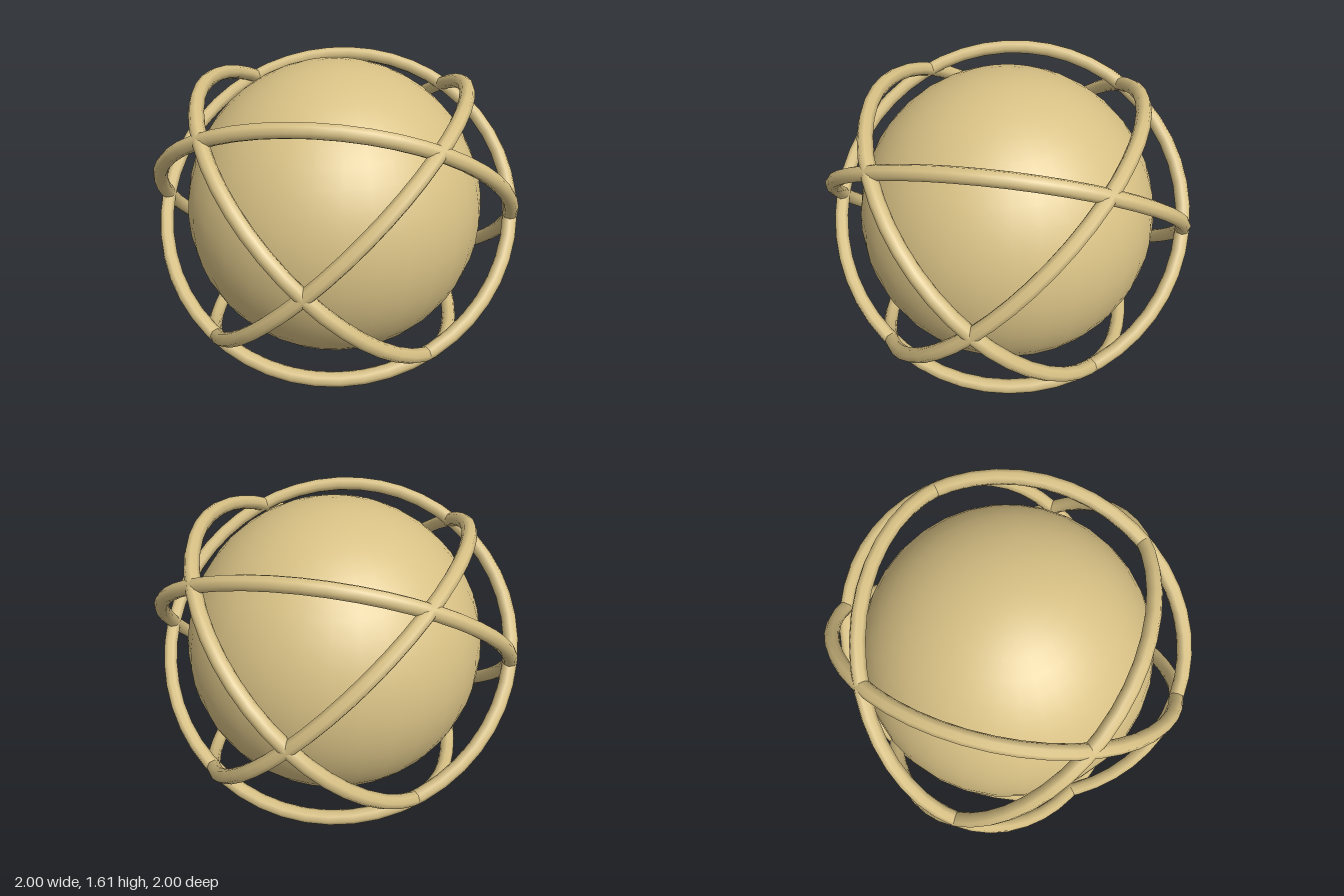
import * as THREE from 'three';

export function createModel() {
  const model = new THREE.Group();
  const sand = new THREE.MeshStandardMaterial({ color: 0xd8c185 });
  sand.name = 'sand';
  const centreY = 0.805;

  const add = (name, geometry) => {
    const mesh = new THREE.Mesh(geometry, sand);
    mesh.name = name;
    mesh.position.y = centreY;
    model.add(mesh);
  };

  // Central ball
  add('ball', new THREE.SphereGeometry(0.804, 32, 24));

  // Four hoops: one pair crosses on the x axis, the other on the z axis
  const hoop = () => new THREE.TorusGeometry(0.961, 0.039, 8, 48);
  for (const side of [-1, 1]) {
    const tilt = side * Math.PI / 4;
    const label = side < 0 ? 'A' : 'B';
    add('sideHoop' + label, hoop().rotateX(tilt));
    add('frontHoop' + label, hoop().rotateY(Math.PI / 2).rotateZ(tilt));
  }
  return model;
}
